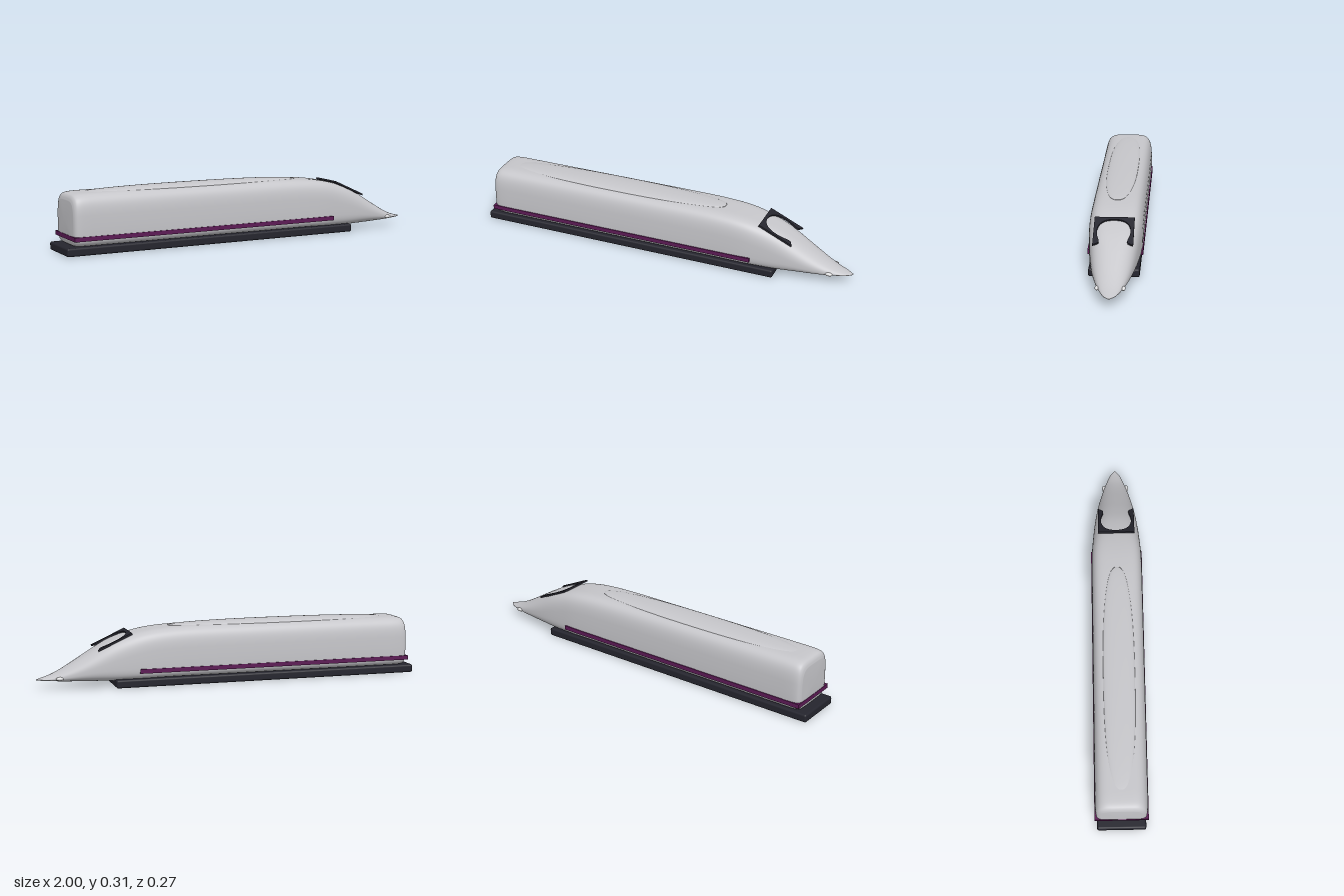
import * as THREE from 'three';
import { RoundedBoxGeometry } from 'three/addons/geometries/RoundedBoxGeometry.js';

const silver = new THREE.MeshStandardMaterial({ name: 'silver', color: 0xc6c6ca });
const charcoal = new THREE.MeshStandardMaterial({ name: 'charcoal', color: 0x25252e });
const purple = new THREE.MeshStandardMaterial({ name: 'purple', color: 0x5c1a55 });
const lampWhite = new THREE.MeshStandardMaterial({ name: 'lamp white', color: 0xdededf });

// Stations along the body: x, top, bottom, half width, squareness
const STATIONS = [
  [-0.962, 0.26, 0.07, 0.105, 5], [-0.955, 0.28, 0.05, 0.12, 5],
  [-0.94, 0.292, 0.042, 0.129, 5], [-0.9, 0.297, 0.04, 0.133, 5],
  [-0.8, 0.298, 0.04, 0.133, 5], [-0.5, 0.298, 0.04, 0.133, 5],
  [-0.1, 0.298, 0.04, 0.133, 5], [0.2, 0.297, 0.04, 0.133, 5],
  [0.35, 0.291, 0.04, 0.133, 5], [0.45, 0.28, 0.038, 0.131, 4.8],
  [0.53, 0.263, 0.035, 0.125, 4.2], [0.62, 0.235, 0.031, 0.116, 3.4],
  [0.7, 0.195, 0.031, 0.105, 2.8], [0.78, 0.148, 0.032, 0.09, 2.4],
  [0.86, 0.101, 0.034, 0.069, 2.2], [0.92, 0.071, 0.037, 0.049, 2],
  [0.97, 0.054, 0.04, 0.028, 2], [1.0, 0.047, 0.043, 0.005, 2],
];

function mesh(name, geometry, material, x = 0, y = 0, z = 0) {
  const m = new THREE.Mesh(geometry, material);
  m.name = name;
  m.position.set(x, y, z);
  return m;
}

const signedPow = (v, p) => Math.sign(v) * Math.pow(Math.abs(v), p);

// Rounded-square sections lofted from the tail to the pointed nose
function bodyGeometry(rings = 85, sides = 96) {
  const spline = (a, b) => new THREE.CatmullRomCurve3(
    STATIONS.map((s) => new THREE.Vector3(s[0], s[a], s[b])), false, 'catmullrom');
  const heights = spline(1, 2), widths = spline(3, 4);
  const pos = [], index = [];
  for (let i = 0; i <= rings; i++) {
    const { x, y: top, z: bottom } = heights.getPoint(i / rings);
    const { y: half, z: n } = widths.getPoint(i / rings);
    const mid = bottom + 0.4 * (top - bottom);
    for (let j = 0; j < sides; j++) {
      const a = (j / sides) * Math.PI * 2;
      const up = Math.sin(a) >= 0;
      const p = 2 / (up ? n : n * 1.2);
      const t = signedPow(Math.sin(a), p);
      const taper = 1 - (up ? 0.07 : 0.04) * t * t;
      pos.push(x, mid + t * (up ? top - mid : mid - bottom), half * taper * signedPow(Math.cos(a), p));
    }
  }
  const tail = pos.length / 3, nose = tail + 1, last = rings * sides;
  pos.push(-0.967, 0.165, 0, 1.0, 0.045, 0);
  for (let j = 0; j < sides; j++) {
    const k = (j + 1) % sides;
    for (let i = 0; i < rings; i++) {
      const a = i * sides, b = a + sides;
      index.push(a + j, b + j, a + k, b + j, b + k, a + k);
    }
    index.push(tail, j, k, nose, last + k, last + j);
  }
  const g = new THREE.BufferGeometry();
  g.setAttribute('position', new THREE.Float32BufferAttribute(pos, 3));
  g.setIndex(index);
  g.computeVertexNormals();
  return g;
}

// Sloping arch that frames the windscreen
function windscreenFrame() {
  const s = new THREE.Shape();
  const w = 0.096, len = 0.192;
  s.moveTo(-w, 0);
  s.lineTo(-0.07, 0.016);
  s.bezierCurveTo(-0.06, 0.035, -0.08, 0.05, -0.08, 0.095);
  s.bezierCurveTo(-0.08, 0.15, -0.05, 0.176, 0, 0.176);
  s.bezierCurveTo(0.05, 0.176, 0.08, 0.15, 0.08, 0.095);
  s.bezierCurveTo(0.08, 0.05, 0.06, 0.035, 0.07, 0.016);
  s.lineTo(w, 0);
  s.lineTo(w, len);
  s.lineTo(-w, len);
  s.closePath();
  const g = new THREE.ExtrudeGeometry(s, { depth: 0.009, bevelEnabled: false, curveSegments: 16 });
  const slope = Math.atan2(0.08, 0.175), c = Math.cos(slope), d = Math.sin(slope);
  g.applyMatrix4(new THREE.Matrix4().makeBasis(
    new THREE.Vector3(0, 0, -1), new THREE.Vector3(-c, d, 0), new THREE.Vector3(d, c, 0)));
  return mesh('windscreenFrame', g, charcoal, 0.699, 0.187, 0);
}

export function createModel() {
  const train = new THREE.Group();
  train.name = 'bulletTrain';

  train.add(mesh('body', bodyGeometry(), silver));

  // Low pod on the roof
  const pod = mesh('roofPod', new THREE.SphereGeometry(1, 64, 32), silver, -0.277, 0.294, 0);
  const p = pod.geometry.attributes.position;
  for (let i = 0; i < p.count; i++) {
    const x = p.getX(i), z = p.getZ(i), r = Math.hypot(x, z);
    // Fuller, squarer outline than a plain ellipse
    const k = r > 1e-6 ? r / Math.pow(Math.abs(x) ** 2.5 + Math.abs(z) ** 2.5, 1 / 2.5) : 1;
    p.setXYZ(i, x * k * 0.598, p.getY(i) * 0.017, z * k * 0.08);
  }
  pod.geometry.computeVertexNormals();
  train.add(pod);

  // Underframe and the stripe that wraps the sides and tail
  train.add(mesh('underframe', new RoundedBoxGeometry(1.615, 0.042, 0.248, 3, 0.01), charcoal, -0.1925, 0.021, 0));
  train.add(mesh('stripe', new THREE.BoxGeometry(1.46, 0.022, 0.272), purple, -0.235, 0.083, 0));

  train.add(windscreenFrame());

  // Headlights on both sides of the nose
  for (const side of [1, -1]) {
    const lamp = mesh(side > 0 ? 'rightHeadlight' : 'leftHeadlight',
      new THREE.SphereGeometry(1, 24, 16), lampWhite, 0.89, 0.054, side * 0.061);
    lamp.scale.set(0.02, 0.009, 0.01);
    train.add(lamp);
  }
  return train;
}
